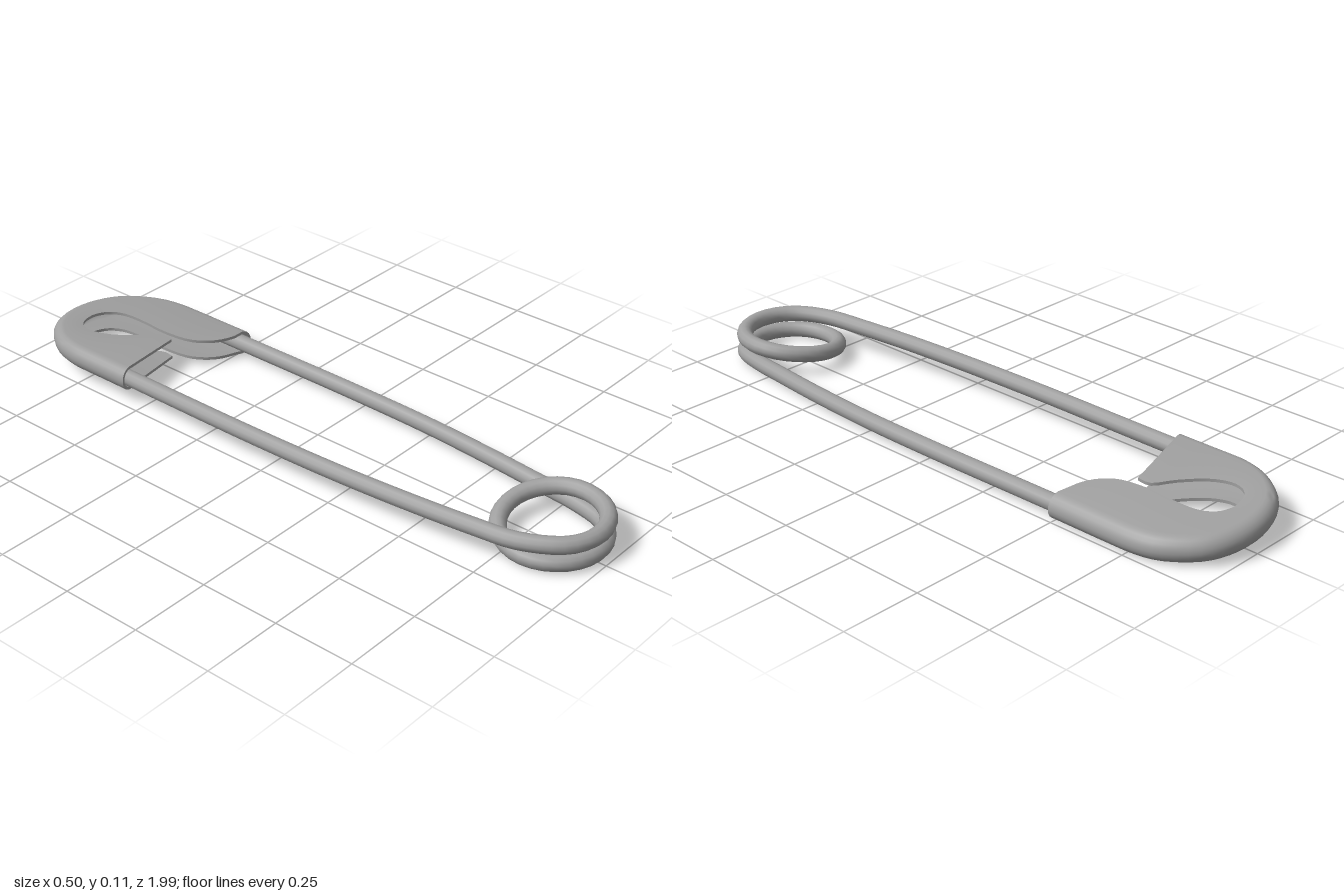
import * as THREE from 'three';
import { toCreasedNormals } from 'three/addons/utils/BufferGeometryUtils.js';

const WIRE = 0.025;

// Bent wire: left arm, one and a half coil turns, right arm
function wireCurve() {
  const pts = [
    [-0.212, 0.077, -0.76], [-0.214, 0.077, -0.4], [-0.215, 0.078, -0.05], [-0.208, 0.079, 0.25],
    [-0.193, 0.081, 0.5], [-0.173, 0.082, 0.7], [-0.157, 0.083, 0.81],
  ].map((p) => new THREE.Vector3(...p));
  for (let a = 150; a >= -330; a -= 20) {
    const r = THREE.MathUtils.degToRad(a);
    const drop = THREE.MathUtils.smoothstep(-a, -10, 190);
    pts.push(new THREE.Vector3(0.008 + 0.147 * Math.cos(r), 0.085 - 0.055 * drop, 0.82 + 0.147 * Math.sin(r)));
  }
  for (const p of [
    [0.162, 0.032, 0.78], [0.17, 0.032, 0.7], [0.19, 0.033, 0.5], [0.207, 0.035, 0.25],
    [0.213, 0.037, -0.05], [0.212, 0.039, -0.4], [0.211, 0.04, -0.76],
  ]) pts.push(new THREE.Vector3(...p));
  return new THREE.CatmullRomCurve3(pts);
}

// Folded sheet hood: a C-shaped section swept from rim to inner edge
function claspGeometry() {
  // rim x, rim z, inner edge x, inner edge z
  const pairs = [
    [-0.25, -0.55, 0.02, -0.61], [-0.25, -0.6, 0.02, -0.655], [-0.25, -0.66, -0.035, -0.7],
    [-0.25, -0.72, -0.09, -0.76], [-0.247, -0.78, -0.115, -0.82], [-0.225, -0.86, -0.107, -0.865],
    [-0.165, -0.942, -0.078, -0.89], [-0.09, -0.985, -0.04, -0.9], [0, -1, -0.01, -0.897],
    [0.09, -0.985, 0.02, -0.882], [0.165, -0.942, 0.042, -0.85], [0.225, -0.86, 0.05, -0.81],
    [0.247, -0.78, 0.05, -0.75], [0.25, -0.68, 0.045, -0.67], [0.25, -0.6, 0.055, -0.585],
    [0.25, -0.55, 0.085, -0.535], [0.25, -0.515, 0.13, -0.505], [0.25, -0.49, 0.18, -0.493],
  ];
  const rim = new THREE.SplineCurve(pairs.map((p) => new THREE.Vector2(p[0], p[1])));
  const edge = new THREE.SplineCurve(pairs.map((p) => new THREE.Vector2(p[2], p[3])));
  const R = 0.0385, T = 0.009, PINCH = 0.034, ARC = 10;
  const steps = (pairs.length - 1) * 3;

  // half of the section loop: top edge, round rim, bottom edge
  const layer = (len, r, h) => {
    const out = [[len, h]];
    for (let i = 0; i <= ARC; i++) {
      const a = Math.PI / 2 + (i / ARC) * Math.PI;
      out.push([R + r * Math.cos(a), r * Math.sin(a)]);
    }
    out.push([len, -h]);
    return out;
  };

  const pos = [], index = [];
  const n = ARC + 3, m = n * 2;
  for (let s = 0; s <= steps; s++) {
    const p = rim.getPoint(s / steps), q = edge.getPoint(s / steps);
    const len = p.distanceTo(q);
    const dir = q.clone().sub(p).normalize();
    const loop = [...layer(len, R, PINCH), ...layer(len, R - T, PINCH - T).reverse()];
    for (const [d, h] of loop) {
      const x = p.x + dir.x * d;
      // the hood leans from the high left arm to the low right arm
      pos.push(x, 0.059 - 0.087 * x + h, p.y + dir.y * d);
    }
  }
  const quad = (a, b, c, d) => index.push(a, b, c, a, c, d);
  for (let s = 0; s < steps; s++) {
    for (let j = 0; j < m; j++) {
      const k = (j + 1) % m;
      quad(s * m + j, (s + 1) * m + j, (s + 1) * m + k, s * m + k);
    }
  }
  // sheet thickness at the two open ends
  const e = steps * m;
  for (let i = 0; i < n - 1; i++) {
    quad(i, i + 1, m - 2 - i, m - 1 - i);
    quad(e + i, e + m - 1 - i, e + m - 2 - i, e + i + 1);
  }
  const g = new THREE.BufferGeometry();
  g.setAttribute('position', new THREE.Float32BufferAttribute(pos, 3));
  g.setIndex(index);
  return toCreasedNormals(g, 0.7);
}

export function createModel() {
  const model = new THREE.Group();
  model.name = 'safetyPin';
  const steel = new THREE.MeshStandardMaterial({ color: 0xa0a0a0 });
  steel.name = 'steel';
  const add = (name, geometry) => {
    const mesh = new THREE.Mesh(geometry, steel);
    mesh.name = name;
    model.add(mesh);
    return mesh;
  };

  const curve = wireCurve();
  add('wire', new THREE.TubeGeometry(curve, 150, WIRE, 12));
  // rounded wire ends inside the hood
  add('leftWireEnd', new THREE.SphereGeometry(WIRE, 12, 8)).position.copy(curve.getPoint(0));
  add('rightWireEnd', new THREE.SphereGeometry(WIRE, 12, 8)).position.copy(curve.getPoint(1));
  add('clasp', claspGeometry());
  return model;
}
